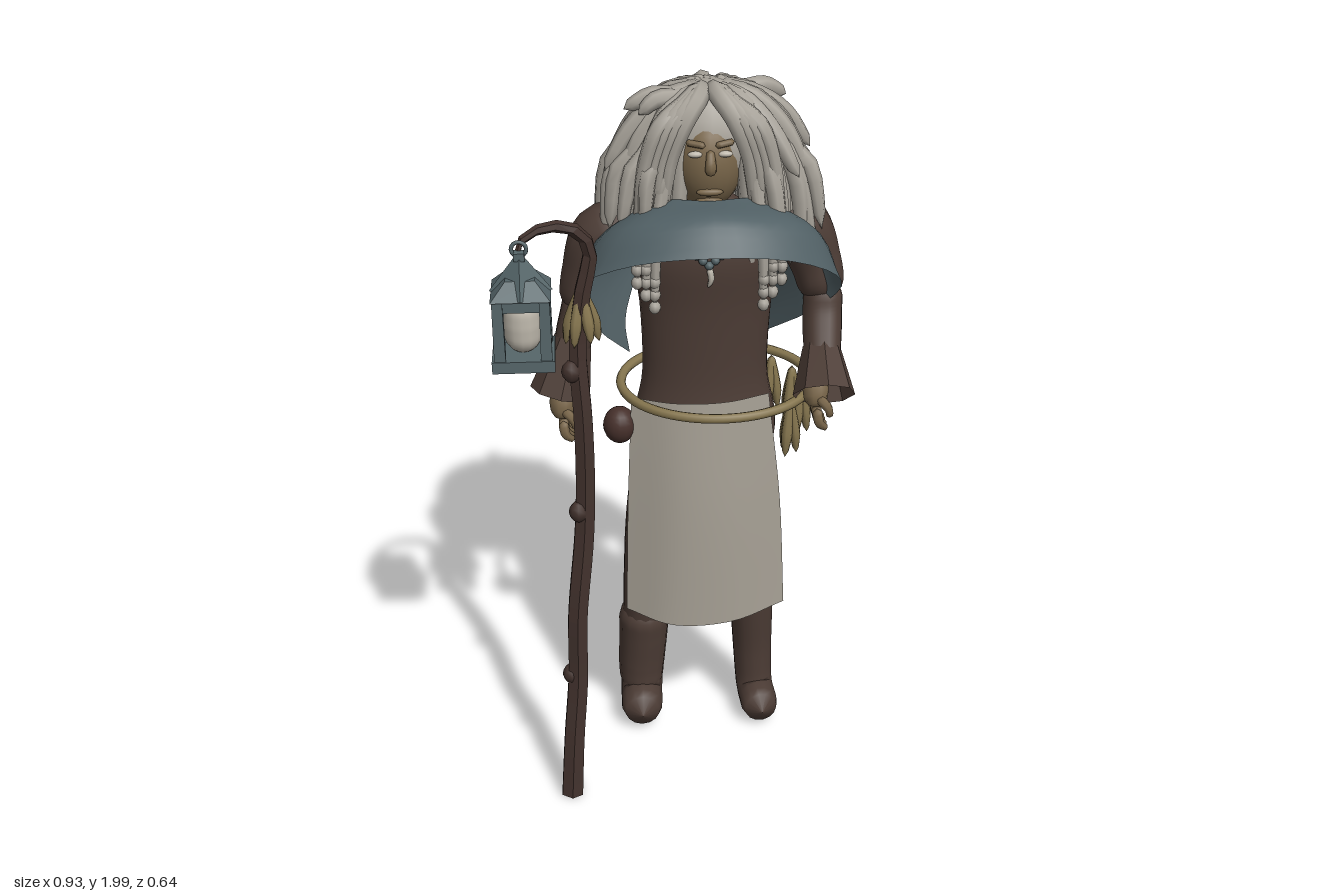
import * as THREE from 'three';
import { mergeVertices } from 'three/addons/utils/BufferGeometryUtils.js';

const V = (x, y, z) => new THREE.Vector3(x, y, z);
const COLORS = {
  cloth: 0x4c3c35, hair: 0xa8a39a, skin: 0x79664a, shawl: 0x516065, apron: 0x9f998e,
  rope: 0x86764f, wood: 0x42322d, metal: 0x56666a, lamp: 0xbdb7ab, gourd: 0x46302b,
};
const MAT = {};
for (const [name, color] of Object.entries(COLORS)) {
  MAT[name] = new THREE.MeshStandardMaterial({ color });
  MAT[name].name = name;
}
MAT.shawl.side = MAT.apron.side = MAT.cloth.side = THREE.DoubleSide;

function flat(geo) {
  const g = geo.index ? geo.toNonIndexed() : geo;
  g.computeVertexNormals();
  return g;
}

// Tube with a varying radius: smooth with round ends, or faceted with flat ends
function taper(pts, radii, seg = 16, sides = 10, faceted = false) {
  const curve = new THREE.CatmullRomCurve3(pts.map((p) => V(...p)));
  const len = curve.getLength();
  const geo = new THREE.TubeGeometry(curve, seg, 1, sides);
  const pos = geo.attributes.position, v = V(0, 0, 0);
  for (let i = 0; i <= seg; i++) {
    const from = curve.getPointAt(i / seg);
    const t = faceted ? THREE.MathUtils.clamp((i - 1) / (seg - 2), 0, 1) : i / seg;
    const to = curve.getPointAt(t);
    const f = t * (radii.length - 1), k = Math.min(Math.floor(f), radii.length - 2);
    let r = THREE.MathUtils.lerp(radii[k], radii[k + 1], f - k);
    const e = Math.min(1, Math.min(t, 1 - t) * len / r);
    const atEnd = i === 0 || i === seg;
    r *= faceted ? (atEnd ? 0.001 : 1) : Math.max(0.001, Math.sqrt(1 - (1 - e) ** 2));
    for (let j = 0; j <= sides; j++) {
      const n = i * (sides + 1) + j;
      v.fromBufferAttribute(pos, n).sub(from).multiplyScalar(r).add(to);
      pos.setXYZ(n, v.x, v.y, v.z);
    }
  }
  if (faceted) return flat(geo);
  geo.deleteAttribute('uv');
  geo.deleteAttribute('normal');
  const out = mergeVertices(geo, 1e-6);
  out.computeVertexNormals();
  return out;
}

// Sheet through rows of guide points
function sheet(rows, nu, nv) {
  const curves = rows.map((r) => new THREE.CatmullRomCurve3(r.map((p) => V(...p))));
  const geo = new THREE.PlaneGeometry(1, 1, nu, nv), pos = geo.attributes.position;
  for (let i = 0; i <= nu; i++) {
    const across = new THREE.CatmullRomCurve3(curves.map((c) => c.getPoint(i / nu)));
    for (let j = 0; j <= nv; j++) {
      const p = across.getPoint(j / nv);
      pos.setXYZ(j * (nu + 1) + i, p.x, p.y, p.z);
    }
  }
  geo.computeVertexNormals();
  return geo;
}

export function createModel() {
  const root = new THREE.Group();
  root.name = 'wanderer';
  let seed = 7;
  const rnd = () => ((seed = (seed * 16807) % 2147483647) / 2147483647);
  const add = (name, geo, mat, parent = root) => {
    const m = new THREE.Mesh(geo, MAT[mat]);
    m.name = name;
    parent.add(m);
    return m;
  };
  const ball = (name, p, s, mat, parent = root, w = 16) => {
    const m = add(name, new THREE.SphereGeometry(1, w, Math.ceil(w * 0.7)), mat, parent);
    m.position.set(...p);
    m.scale.set(...s);
  };
  const group = (name) => {
    const g = new THREE.Group();
    g.name = name;
    root.add(g);
    return g;
  };

  // Torso and legs
  const profile = new THREE.SplineCurve([[0, 0.86], [0.1, 0.872], [0.168, 0.92], [0.197, 1.0], [0.192, 1.08], [0.17, 1.2],
    [0.176, 1.4], [0.195, 1.54], [0.16, 1.64], [0.07, 1.69], [0.055, 1.76]].map((p) => new THREE.Vector2(...p)));
  const torso = add('torso', new THREE.LatheGeometry(profile.getPoints(40), 28), 'cloth');
  torso.scale.z = 0.6;
  torso.position.set(0.085, 0, -0.083);
  add('leftLeg', taper([[0.175, 1.04, -0.085], [0.195, 0.85, -0.088], [0.222, 0.6, -0.085], [0.233, 0.4, -0.105],
    [0.243, 0.2, -0.12], [0.25, 0.085, -0.105], [0.257, 0.067, -0.045], [0.262, 0.067, 0.02]],
  [0.08, 0.092, 0.084, 0.072, 0.065, 0.06, 0.056, 0.056], 40, 14), 'cloth');
  add('rightLeg', taper([[-0.005, 1.04, -0.085], [-0.035, 0.85, -0.088], [-0.072, 0.6, -0.085], [-0.085, 0.4, -0.105],
    [-0.095, 0.2, -0.12], [-0.098, 0.088, -0.105], [-0.1, 0.075, -0.045], [-0.1, 0.073, 0.02]],
  [0.08, 0.092, 0.084, 0.072, 0.066, 0.064, 0.064, 0.062], 40, 14), 'cloth');
  add('rightBoot', taper([[-0.087, 0.425, -0.103], [-0.09, 0.3, -0.113], [-0.097, 0.17, -0.12], [-0.098, 0.07, -0.11]],
    [0.077, 0.073, 0.07, 0.062], 36, 14), 'cloth');

  // Arms, flared cuffs and hands
  add('leftSleeve', taper([[0.2, 1.57, -0.1], [0.32, 1.6, -0.1], [0.375, 1.5, -0.095], [0.4, 1.39, -0.075]],
    [0.07, 0.084, 0.07, 0.06], 24, 14), 'cloth');
  add('leftForearm', taper([[0.4, 1.45, -0.085], [0.395, 1.36, -0.055], [0.385, 1.23, 0.06]], [0.053, 0.053, 0.046], 18, 14), 'cloth');
  add('rightSleeve', taper([[-0.03, 1.57, -0.1], [-0.18, 1.585, -0.1], [-0.225, 1.48, -0.11], [-0.25, 1.36, -0.115]],
    [0.07, 0.082, 0.07, 0.058], 24, 14), 'cloth');
  add('rightForearm', taper([[-0.235, 1.43, -0.112], [-0.255, 1.34, -0.11], [-0.295, 1.19, -0.08]], [0.052, 0.052, 0.044], 18, 14), 'cloth');
  const cuff = (name, a, b) => {
    const p = V(...a), q = V(...b), d = p.clone().sub(q);
    const m = add(name, flat(new THREE.CylinderGeometry(0.05, 0.083, d.length(), 8, 1, true)), 'cloth');
    m.position.copy(p).add(q).multiplyScalar(0.5);
    m.quaternion.setFromUnitVectors(V(0, 1, 0), d.normalize());
  };
  cuff('leftCuff', [0.388, 1.29, 0], [0.385, 1.195, 0.095]);
  cuff('rightCuff', [-0.27, 1.29, -0.1], [-0.31, 1.14, -0.07]);
  const hand = (name, x, y, z, fwd) => {
    const g = group(name);
    add('palm', taper([[x, y + 0.09, z - fwd], [x, y + 0.03, z], [x, y - 0.01, z + 0.005]], [0.025, 0.035, 0.03], 10), 'skin', g);
    for (let i = 0; i < 4; i++) {
      const fz = z + 0.032 - i * 0.02;
      add('finger', taper([[x, y, fz], [x + 0.008, y - 0.04, fz + 0.01], [x + 0.03, y - 0.06, fz]], [0.014, 0.013, 0.009], 8, 6), 'skin', g);
    }
    add('thumb', taper([[x, y + 0.03, z + 0.02], [x + 0.03, y, z + 0.035], [x + 0.035, y - 0.03, z + 0.03]], [0.014, 0.013, 0.009], 8, 6), 'skin', g);
  };
  hand('leftHand', 0.36, 1.18, 0.11, 0.05);
  hand('rightHand', -0.305, 1.08, -0.05, 0.02);

  // Head and face
  const hx = 0.083;
  ball('head', [hx, 1.8, -0.055], [0.092, 0.13, 0.098], 'skin', root, 24);
  add('nose', taper([[hx, 1.85, 0.033], [hx, 1.81, 0.05], [hx, 1.79, 0.042]], [0.009, 0.013, 0.016], 10, 8), 'skin');
  ball('mouth', [hx, 1.74, 0.03], [0.034, 0.01, 0.012], 'skin');
  ball('chin', [hx, 1.7, 0.01], [0.038, 0.025, 0.025], 'skin');
  for (const s of [-1, 1]) {
    ball('eye', [hx + s * 0.037, 1.838, 0.031], [0.019, 0.008, 0.01], 'lamp');
    add('brow', taper([[hx + s * 0.012, 1.86, 0.035], [hx + s * 0.06, 1.865, 0.018]], [0.009, 0.009], 8, 6), 'skin');
  }

  // Hair: scalp cap and layers of hanging locks
  const hair = group('hair');
  ball('scalp', [0.09, 1.835, -0.09], [0.14, 0.155, 0.115], 'hair', hair);
  const layers = [ // count, reach, end height at the back, end height at the sides, root height
    [30, 0.7, 1.33, 1.55, 1.955], [34, 0.92, 1.32, 1.55, 1.96], [30, 1.04, 1.42, 1.6, 1.97],
    [24, 1.0, 1.7, 1.75, 1.975], [16, 0.78, 1.88, 1.87, 1.98],
  ];
  layers.forEach(([n, reach, back, side, top], layer) => {
    for (let i = 0; i < n; i++) {
      const a = THREE.MathUtils.degToRad(33 + 294 * (i + 0.15 + rnd() * 0.7) / n);
      const rear = Math.max(0, -Math.cos(a));
      const k = reach * (0.87 + rnd() * 0.24);
      const swirl = (rnd() - 0.5) * 0.06;
      const dx = Math.sin(a) * 0.24 * k, dz = Math.cos(a) * (Math.cos(a) > 0 ? 0.14 : 0.192) * k;
      const end = THREE.MathUtils.lerp(side, back, rear) + (rnd() - 0.5) * 0.13;
      const at = (f, y) => [0.093 + dx * f + Math.cos(a) * swirl * f * f, y, -0.092 + dz * f];
      const drop = top - end;
      const bend = Math.min(0.085 + 0.03 * layer, drop * 0.45);
      const pts = [at(0.08, top - 0.005), at(0.45, top - 0.03), at(0.78, top - bend)];
      if (drop > 0.3) pts.push(at(0.95, top - drop * 0.52));
      pts.push(at(1.0 + 0.14 * rnd(), end));
      add('lock', taper(pts, [0.024, 0.028, 0.026, 0.022, 0.014], 11, 7), 'hair', hair);
    }
  });

  // Parted locks over the forehead, falling at the sides of the face
  for (const s of [-1, 1]) {
    for (let i = 0; i < 4; i++) {
      add('fringeLock', taper([[hx + s * 0.012, 1.97 + i * 0.005, -0.1 + i * 0.012], [hx + s * (0.025 + i * 0.012), 1.965 - i * 0.006, -0.02],
        [hx + s * (0.06 + i * 0.02), 1.92 - i * 0.005, 0.018], [hx + s * (0.1 + i * 0.018), 1.82, 0.018], [hx + s * (0.115 + i * 0.022), 1.68 - i * 0.01, 0.01]],
      [0.022, 0.026, 0.024, 0.022, 0.012], 16, 7), 'hair', hair);
    }
    // Thin beaded locks hanging under the shawl
    for (let i = 0; i < 3; i++) {
      const x = hx + s * (0.135 + i * 0.022), y = 1.44 + i * 0.035;
      add('frontLock', taper([[hx + s * 0.11, 1.82, 0.01], [hx + s * 0.125, 1.7, 0.025], [x, 1.6, 0.045], [x + s * 0.005, y, 0.05]],
        [0.018, 0.018, 0.015, 0.01], 14, 7), 'hair', hair);
      for (let b = 0; b < 3; b++) ball('lockBead', [x + s * 0.005, y + b * 0.035, 0.05], [0.016, 0.018, 0.016], 'hair', hair, 8);
    }
  }

  // Shawl over the chest, trailing far under the left arm and less under the right
  const edge = (half, rightEnd) => [...rightEnd, ...half.slice(1).reverse().map(([x, y, z]) => [0.084 - x, y, z]),
    ...half.map(([x, y, z]) => [0.084 + x, y, z])];
  const inner = [[0, 1.72, 0.04], [0.07, 1.72, 0.025], [0.12, 1.71, 0], [0.16, 1.68, -0.05]];
  const middle = [[0, 1.71, 0.14], [0.12, 1.695, 0.125], [0.23, 1.665, 0.075], [0.29, 1.6, 0.0]];
  const outer = [[0, 1.635, 0.205], [0.18, 1.61, 0.17], [0.31, 1.54, 0.095], [0.345, 1.46, 0.01]];
  add('shawl', sheet([
    [...edge(inner, [[-0.1, 1.48, -0.07], [-0.09, 1.56, -0.08]]), [0.264, 1.55, -0.11], [0.259, 1.4, -0.17]],
    [...edge(middle, [[-0.13, 1.36, -0.05], [-0.18, 1.47, -0.05]]), [0.344, 1.46, -0.07], [0.264, 1.32, -0.18]],
    [...edge(outer, [[-0.12, 1.27, -0.04], [-0.2, 1.34, -0.03]]), [0.364, 1.36, -0.07], [0.259, 1.25, -0.19]],
  ], 28, 8), 'shawl');

  // Necklace
  for (let i = -5; i <= 5; i++) ball('bead', [hx + i * 0.016, 1.545 + Math.abs(i) * 0.014, 0.036], [0.012, 0.012, 0.012], 'metal', root, 8);
  add('pendant', taper([[hx, 1.54, 0.038], [hx + 0.005, 1.51, 0.042], [hx - 0.003, 1.485, 0.038]], [0.01, 0.009, 0.003], 8, 6), 'lamp');

  // Apron
  add('apron', sheet([
    [[-0.12, 1.16, 0.01], [0.0, 1.16, 0.055], [0.13, 1.16, 0.055], [0.25, 1.16, 0.01]],
    [[-0.135, 0.85, 0.05], [0.0, 0.85, 0.11], [0.14, 0.85, 0.11], [0.285, 0.85, 0.05]],
    [[-0.145, 0.53, 0.095], [-0.02, 0.51, 0.155], [0.15, 0.515, 0.155], [0.3, 0.535, 0.095]],
  ], 14, 10), 'apron');

  // Rope belt with fringe on the left side and a gourd on the right
  const ring = [];
  for (let i = 0; i < 24; i++) {
    const a = i / 24 * Math.PI * 2;
    ring.push(V(0.113 + 0.258 * Math.sin(a), 1.17 - 0.01 * Math.cos(a), -0.06 + 0.205 * Math.cos(a)));
  }
  add('belt', new THREE.TubeGeometry(new THREE.CatmullRomCurve3(ring, true), 64, 0.013, 8, true), 'rope');
  const tuft = (name, x, y, z, n, len, spread) => {
    const g = group(name);
    for (let i = 0; i < n; i++) {
      const a = i / n * Math.PI * 2, u = Math.cos(a) * spread, w = Math.sin(a) * spread;
      add('strand', taper([[x, y, z], [x + u * 0.7, y - len * 0.55, z + w * 0.7], [x + u, y - len * (0.88 + 0.12 * rnd()), z + w]],
        [0.008, 0.013, 0.016, 0.006], 10, 7), 'rope', g);
    }
  };
  for (const z of [0.06, -0.04, -0.13, -0.2]) {
    tuft('beltTassel', 0.1 + 0.245 * Math.sqrt(1 - ((z + 0.06) / 0.21) ** 2), 1.17, z, 3, 0.18, 0.022);
  }
  ball('gourd', [-0.152, 1.073, 0.0], [0.045, 0.052, 0.045], 'gourd');

  // Crooked staff with a hook and knots
  add('staff', taper([[-0.317, 0.005, 0.257], [-0.305, 0.2, 0.245], [-0.288, 0.4, 0.225], [-0.283, 0.6, 0.222], [-0.258, 0.85, 0.205], [-0.25, 1.0, 0.2],
    [-0.25, 1.2, 0.195], [-0.258, 1.4, 0.185], [-0.24, 1.55, 0.18], [-0.22, 1.65, 0.175], [-0.245, 1.705, 0.185], [-0.3, 1.728, 0.2],
    [-0.36, 1.72, 0.22], [-0.395, 1.69, 0.235], [-0.395, 1.665, 0.24]],
  [0.034, 0.032, 0.031, 0.03, 0.03, 0.029, 0.028, 0.026, 0.023, 0.018, 0.009], 44, 6, true), 'wood');
  for (const [x, y, z] of [[-0.305, 0.41, 0.225], [-0.27, 0.935, 0.215], [-0.275, 1.34, 0.2]]) {
    ball('knot', [x, y, z], [0.026, 0.03, 0.026], 'wood', root, 8);
  }
  tuft('staffTassel', -0.245, 1.56, 0.175, 6, 0.16, 0.042);

  // Hanging lantern
  const lantern = group('lantern');
  lantern.position.set(-0.388, 1.4, 0.25);
  const box = (name, w, h, x, y, z, d = w) => add(name, new THREE.BoxGeometry(w, h, d), 'metal', lantern).position.set(x, y, z);
  box('base', 0.152, 0.03, 0, 0.015, 0, 0.142);
  for (const s of [-1, 1]) {
    box('frontRail', 0.126, 0.03, 0, 0.17, s * 0.055, 0.014);
    box('sideRail', 0.014, 0.03, s * 0.056, 0.17, 0, 0.12);
    for (const sz of [-1, 1]) {
      const post = flat(new THREE.CylinderGeometry(0.018, 0.02, 0.175, 4));
      post.rotateY(Math.PI / 4);
      add('post', post, 'metal', lantern).position.set(s * 0.056, 0.095, sz * 0.054);
    }
  }
  const eaves = add('eaves', flat(new THREE.CylinderGeometry(0.05, 0.102, 0.04, 4)), 'metal', lantern);
  eaves.position.y = 0.205;
  eaves.rotation.y = Math.PI / 4;
  add('roof', flat(new THREE.CylinderGeometry(0.012, 0.076, 0.085, 4)), 'metal', lantern).position.y = 0.23;
  box('cap', 0.026, 0.02, 0, 0.275, 0);
  add('hangRing', new THREE.TorusGeometry(0.018, 0.005, 6, 14), 'metal', lantern).position.y = 0.292;
  add('candle', taper([[0, 0.026, 0], [0, 0.1, 0], [0, 0.175, 0]], [0.043, 0.047, 0.043], 20, 14), 'lamp', lantern);

  return root;
}
